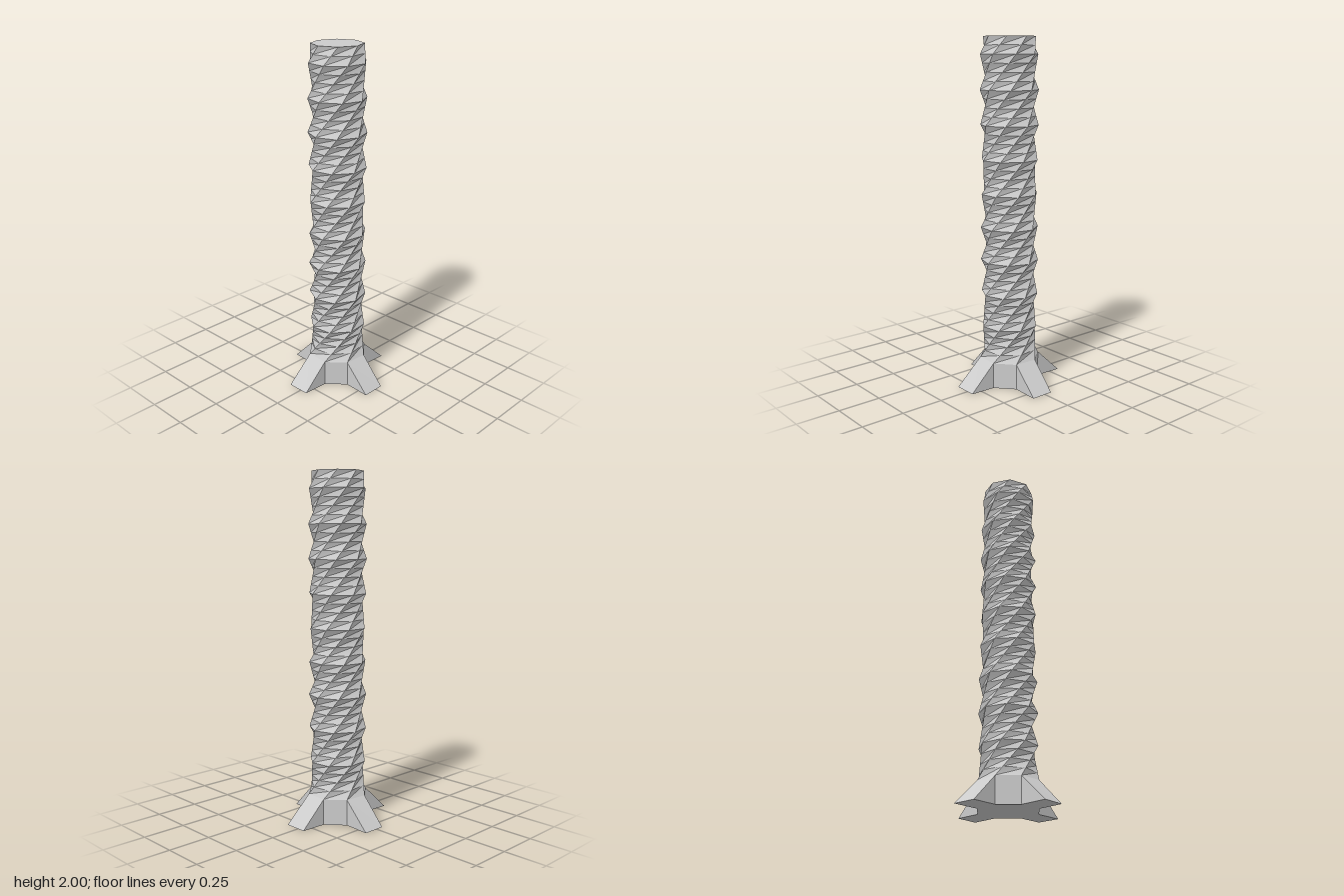
import * as THREE from 'three';
import { toCreasedNormals } from 'three/addons/utils/BufferGeometryUtils.js';

const RAD = Math.PI / 180;
const SIDES = 8;
const TWIST = 54.9 * RAD;          // turn per tier
const TIERS = 9.5;                 // the last tier is cut off halfway
const BASE_Y = 0.15, TOP_Y = 2;
const BASE_R = 0.1756, R = 0.165;
const BASE_ANGLE = 26.55 * RAD;
const STEPS = 4;                   // rings per tier

const polar = (r, a, y) => new THREE.Vector3(r * Math.cos(a), y, r * Math.sin(a));

function geometryFrom(points) {
  return new THREE.BufferGeometry().setFromPoints(points);
}

// Octagon k tiers above the base; corners run in straight lines between tiers.
function ring(k) {
  const tier = Math.min(Math.floor(k), Math.floor(TIERS));
  const t = k - tier;
  const y = BASE_Y + (TOP_Y - BASE_Y) * k / TIERS;
  return Array.from({ length: SIDES }, (_, i) => {
    const a = BASE_ANGLE + i * 2 * Math.PI / SIDES - tier * TWIST;
    const low = polar(tier === 0 ? BASE_R : R, a, y);
    return low.lerp(polar(R, a - TWIST, y), t);
  });
}

// Join successive rings with outward-facing quads.
function loft(rings) {
  const pts = [];
  for (let k = 0; k < rings.length - 1; k++) {
    for (let i = 0; i < SIDES; i++) {
      const j = (i + 1) % SIDES;
      const a = rings[k][i], b = rings[k][j], c = rings[k + 1][i], d = rings[k + 1][j];
      pts.push(a, c, b, b, c, d);
    }
  }
  return geometryFrom(pts);
}

// Flat octagon lid, facing up or down.
function lid(loop, up) {
  const centre = new THREE.Vector3(0, loop[0].y, 0);
  const pts = [];
  loop.forEach((p, i) => {
    const q = loop[(i + 1) % SIDES];
    pts.push(centre, ...(up ? [q, p] : [p, q]));
  });
  return geometryFrom(pts);
}

// Wedge foot growing out of the +x side of the base.
function footGeometry() {
  const a0 = BASE_ANGLE - 2 * Math.PI / SIDES, a1 = BASE_ANGLE;
  const a = polar(BASE_R, a0, 0), b = polar(BASE_R, a1, 0);
  const c = polar(BASE_R, a0, BASE_Y), d = polar(BASE_R, a1, BASE_Y);
  const e = new THREE.Vector3(0.315, 0, -0.047), f = new THREE.Vector3(0.315, 0, 0.087);
  return geometryFrom([
    c, d, e, e, d, f,   // slope
    a, c, e,            // sides
    b, f, d,
    a, e, b, b, e, f,   // underside
  ]);
}

export function createModel() {
  const group = new THREE.Group();
  const material = new THREE.MeshStandardMaterial({ color: 0xcccccc });
  const add = (name, geometry, smooth) => {
    if (smooth) geometry = toCreasedNormals(geometry, 25 * RAD);
    else geometry.computeVertexNormals();
    const mesh = new THREE.Mesh(geometry, material);
    mesh.name = name;
    group.add(mesh);
    return mesh;
  };

  // Twisted shaft
  const rings = [];
  for (let s = 0; s <= TIERS * STEPS; s++) rings.push(ring(s / STEPS));
  add('twistedShaft', loft(rings), true);
  add('topCap', lid(rings[rings.length - 1], true));

  // Straight base block
  const ground = rings[0].map((p) => new THREE.Vector3(p.x, 0, p.z));
  add('base', loft([ground, rings[0]]));
  add('baseUnderside', lid(ground, false));

  // Four feet
  for (let i = 0; i < 4; i++) {
    add('foot' + (i + 1), footGeometry()).rotation.y = i * Math.PI / 2;
  }
  return group;
}
